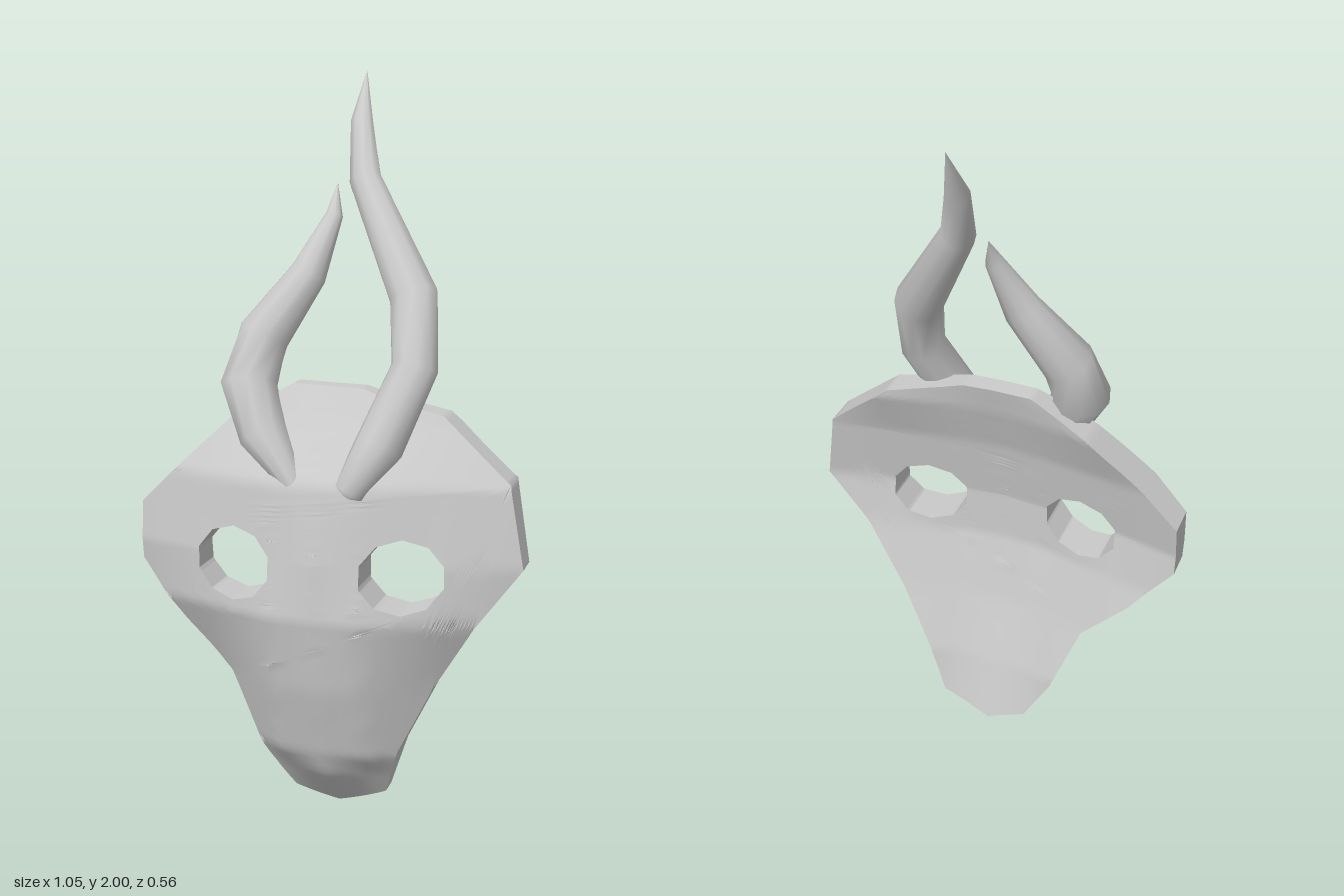
import * as THREE from 'three';
import { toCreasedNormals } from 'three/addons/utils/BufferGeometryUtils.js';

const material = new THREE.MeshStandardMaterial({ color: 0xcccccc });

// Mask outline, counter-clockwise from the chin
const OUTLINE = [
  [0, 0], [0.145, 0.06], [0.195, 0.21], [0.29, 0.4], [0.405, 0.59], [0.525, 0.75],
  [0.485, 0.965], [0.3, 1.125], [0.14, 1.165], [0.08, 1.185], [-0.11, 1.19], [-0.27, 1.1],
  [-0.525, 0.855], [-0.525, 0.695], [-0.4, 0.53], [-0.27, 0.395], [-0.19, 0.18], [-0.115, 0.045],
];

// Depth of the face: each row is height, then z at the |x| stations
const STATIONS = [0, 0.12, 0.33, 0.53];
const FRONT = [
  [0, 0.03, 0.03, 0, 0],
  [0.13, 0.165, 0.12, 0.03, 0],
  [0.2, 0.195, 0.18, 0.04, 0],
  [0.4, 0.25, 0.235, 0.11, 0.02],
  [0.6, 0.28, 0.275, 0.205, 0.13],
  [0.75, 0.27, 0.255, 0.205, 0.15],
  [0.95, 0.24, 0.235, 0.18, 0.13],
  [1.1, 0.14, 0.135, 0.1, 0.06],
  [1.19, 0.085, 0.08, 0.06, 0.03],
];
const BACK = [
  [0, 0, 0, 0, 0],
  [0.2, 0.05, 0.035, -0.02, -0.05],
  [0.4, 0.11, 0.09, 0.04, 0],
  [0.6, 0.15, 0.14, 0.09, 0.05],
  [0.75, 0.15, 0.14, 0.11, 0.065],
  [0.95, 0.11, 0.1, 0.07, 0.03],
  [1.1, 0.055, 0.045, 0.005, 0],
  [1.19, 0.03, 0.025, 0, -0.02],
];

// Index of the interval holding v, and the fraction along it
function locate(list, v) {
  let i = 0;
  while (i < list.length - 2 && v > list[i + 1]) i++;
  return [i, THREE.MathUtils.clamp((v - list[i]) / (list[i + 1] - list[i]), 0, 1)];
}

function depthAt(table, x, y) {
  const [r, fy] = locate(table.map((row) => row[0]), y);
  const [c, fx] = locate(STATIONS, Math.abs(x));
  const { lerp } = THREE.MathUtils;
  const across = (row) => lerp(row[c + 1], row[c + 2], fx);
  return lerp(across(table[r]), across(table[r + 1]), fy);
}

// Split every triangle into four, keeping neighbours joined
function subdivide(geometry, levels) {
  const source = geometry.getAttribute('position');
  let points = [];
  for (let i = 0; i < source.count; i++) {
    points.push(new THREE.Vector3().fromBufferAttribute(source, i));
  }
  for (let level = 0; level < levels; level++) {
    const next = [];
    for (let i = 0; i < points.length; i += 3) {
      const [a, b, c] = points.slice(i, i + 3);
      const mid = (p, q) => p.clone().add(q).multiplyScalar(0.5);
      const ab = mid(a, b), bc = mid(b, c), ca = mid(c, a);
      next.push(a, ab, ca, ab, b, bc, ca, bc, c, ab, bc, ca);
    }
    points = next;
  }
  return points;
}

// Flat slab with eye holes, bent so its two faces follow the depth tables
function createMask() {
  const shape = new THREE.Shape(OUTLINE.map(([x, y]) => new THREE.Vector2(x, y)));
  for (const [cx, cy] of [[-0.232, 0.728], [0.226, 0.726]]) {
    const rim = [];
    for (let i = 0; i < 10; i++) {
      const a = -((i + 0.5) / 10) * Math.PI * 2;
      rim.push(new THREE.Vector2(cx + 0.111 * Math.cos(a), cy + 0.099 * Math.sin(a)));
    }
    shape.holes.push(new THREE.Path(rim));
  }
  const slab = new THREE.ExtrudeGeometry(shape, { depth: 1, bevelEnabled: false });
  const bent = subdivide(slab, 4).map(({ x, y, z }) => new THREE.Vector3(
    x, y, THREE.MathUtils.lerp(depthAt(BACK, x, y), depthAt(FRONT, x, y), z),
  ));
  const geometry = new THREE.BufferGeometry().setFromPoints(bent);
  const mesh = new THREE.Mesh(toCreasedNormals(geometry, 0.7), material);
  mesh.name = 'mask';
  return mesh;
}

// Tapering horn through rows of x, y, z, radius
function createHorn(name, rows) {
  const sides = 10;
  const centres = rows.map(([x, y, z]) => new THREE.Vector3(x, y, z));
  const positions = [], index = [];
  rows.forEach((row, i) => {
    const before = centres[Math.max(i - 1, 0)];
    const after = centres[Math.min(i + 1, rows.length - 1)];
    const tangent = after.clone().sub(before).normalize();
    const u = new THREE.Vector3().crossVectors(tangent, new THREE.Vector3(0, 0, 1)).normalize();
    const v = new THREE.Vector3().crossVectors(tangent, u);
    for (let j = 0; j < sides; j++) {
      const a = (j / sides) * Math.PI * 2;
      const p = centres[i].clone()
        .addScaledVector(u, row[3] * Math.cos(a))
        .addScaledVector(v, row[3] * Math.sin(a));
      positions.push(p.x, p.y, p.z);
      if (i === 0) continue;
      const k = (j + 1) % sides;
      const a0 = (i - 1) * sides + j, b0 = (i - 1) * sides + k;
      const a1 = i * sides + j, b1 = i * sides + k;
      index.push(a0, b0, b1, a0, b1, a1);
    }
  });
  const geometry = new THREE.BufferGeometry();
  geometry.setAttribute('position', new THREE.Float32BufferAttribute(positions, 3));
  geometry.setIndex(index);
  geometry.computeVertexNormals();
  const mesh = new THREE.Mesh(geometry, material);
  mesh.name = name;
  return mesh;
}

export function createModel() {
  const group = new THREE.Group();
  group.name = 'hornedMask';
  group.add(createMask());
  // Long horn on the left, shorter and thicker horn on the right
  group.add(createHorn('leftHorn', [
    [0.07, 0.905, 0.215, 0],
    [0.084, 0.935, 0.213, 0.046],
    [0.147, 1.05, 0.165, 0.064],
    [0.22, 1.245, 0.088, 0.062],
    [0.2, 1.42, 0.025, 0.065],
    [0.03, 1.71, -0.11, 0.044],
    [-0.005, 1.86, -0.195, 0.031],
    [-0.015, 2.0, -0.28, 0],
  ]));
  group.add(createHorn('rightHorn', [
    [-0.05, 0.925, 0.215, 0],
    [-0.068, 0.945, 0.208, 0.03],
    [-0.165, 1.06, 0.162, 0.066],
    [-0.224, 1.185, 0.11, 0.077],
    [-0.2, 1.31, 0.055, 0.07],
    [-0.092, 1.47, 0.005, 0.05],
    [-0.038, 1.62, -0.05, 0.024],
    [-0.045, 1.705, -0.105, 0],
  ]));
  return group;
}
